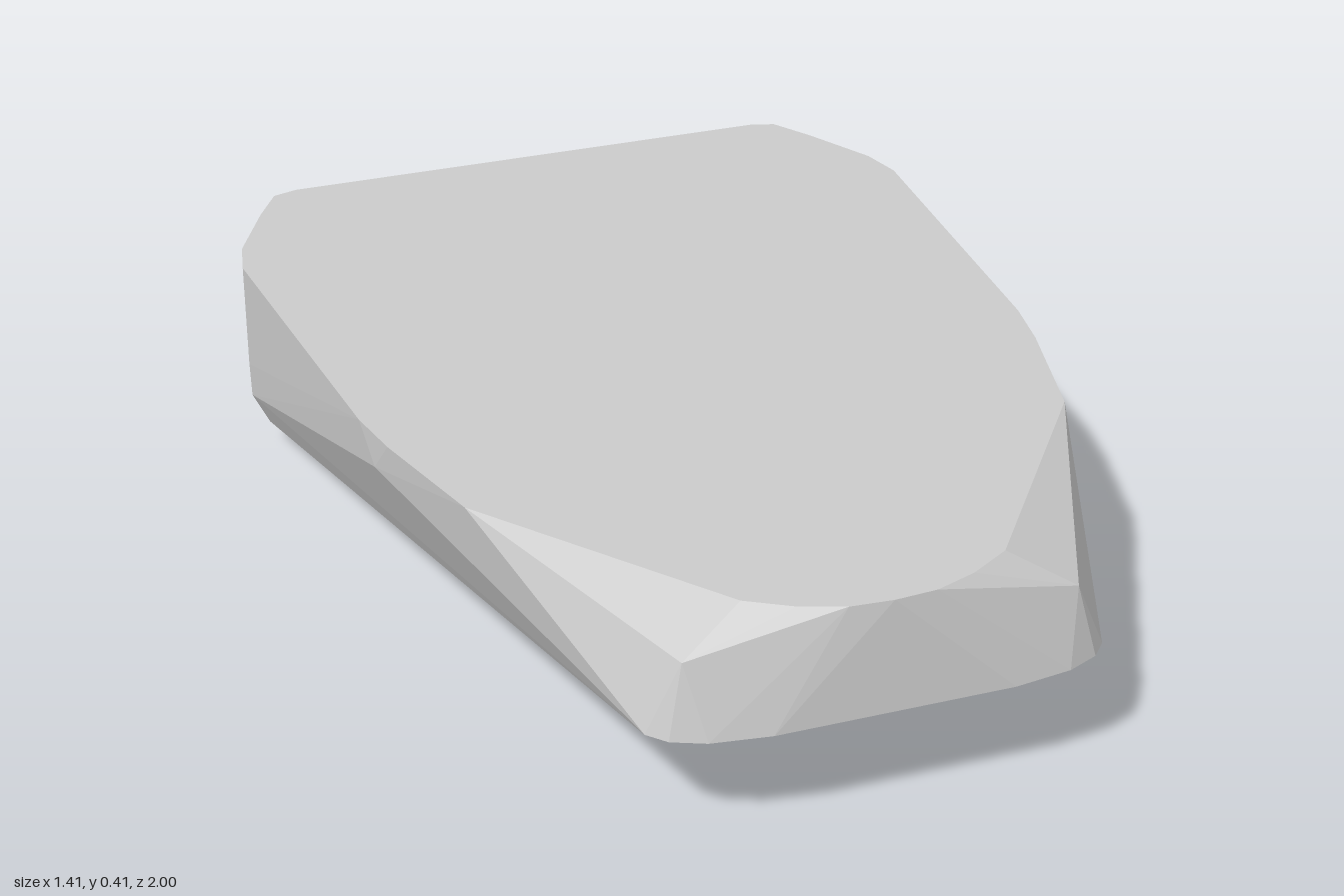
import * as THREE from 'three';
import { ConvexGeometry } from 'three/addons/geometries/ConvexGeometry.js';

export function createModel() {
  const group = new THREE.Group();
  group.name = 'facetedSlab';
  const material = new THREE.MeshStandardMaterial({ color: 0xcccccc, flatShading: true });
  const points = [];
  const add = (x, y, z) => points.push(new THREE.Vector3(x, y, z));
  const addPair = (x, y, z) => { add(x, y, z); add(-x, y, z); };

  // Flat top outline, half of it, from the back edge to the front tip
  const top = 0.414;
  const outline = [
    [0.51, -1], [0.56, -0.985], [0.61, -0.9], [0.685, -0.75], [0.705, -0.66],
    [0.66, 0.05], [0.64, 0.17], [0.59, 0.37], [0.575, 0.43],
    [0.24, 0.89], [0.16, 0.94], [0.08, 0.97], [0, 0.976],
  ];
  outline.forEach(([x, z]) => addPair(x, top, z));

  // Chamfered front corners, nose edge and flank facets
  addPair(0.36, 0.345, 0.935);
  for (const [x, z] of [[0.42, 0.92], [0.39, 0.955], [0.33, 0.982], [0.22, 0.998]]) addPair(x, 0.21, z);
  addPair(0.65, 0.345, 0.11);

  // Back rim and the sloping rear corners
  addPair(0.51, 0.34, -0.98);
  addPair(0.55, 0.34, -0.968);
  addPair(0.61, 0.2, -0.835);
  addPair(0.685, 0.2, -0.745);
  addPair(0.705, 0.2, -0.66);

  // Lopsided keel, deepest on the right side
  add(-0.703, 0.13, -0.66);
  add(-0.665, 0.05, -0.685);
  add(-0.6, 0.02, -0.69);
  add(-0.52, 0, -0.68);
  add(-0.47, 0, -0.32);
  add(-0.22, 0, -0.5);
  add(-0.22, 0, -0.68);
  add(0.14, 0.022, -0.69);

  const body = new THREE.Mesh(new ConvexGeometry(points), material);
  body.name = 'body';
  group.add(body);
  return group;
}
